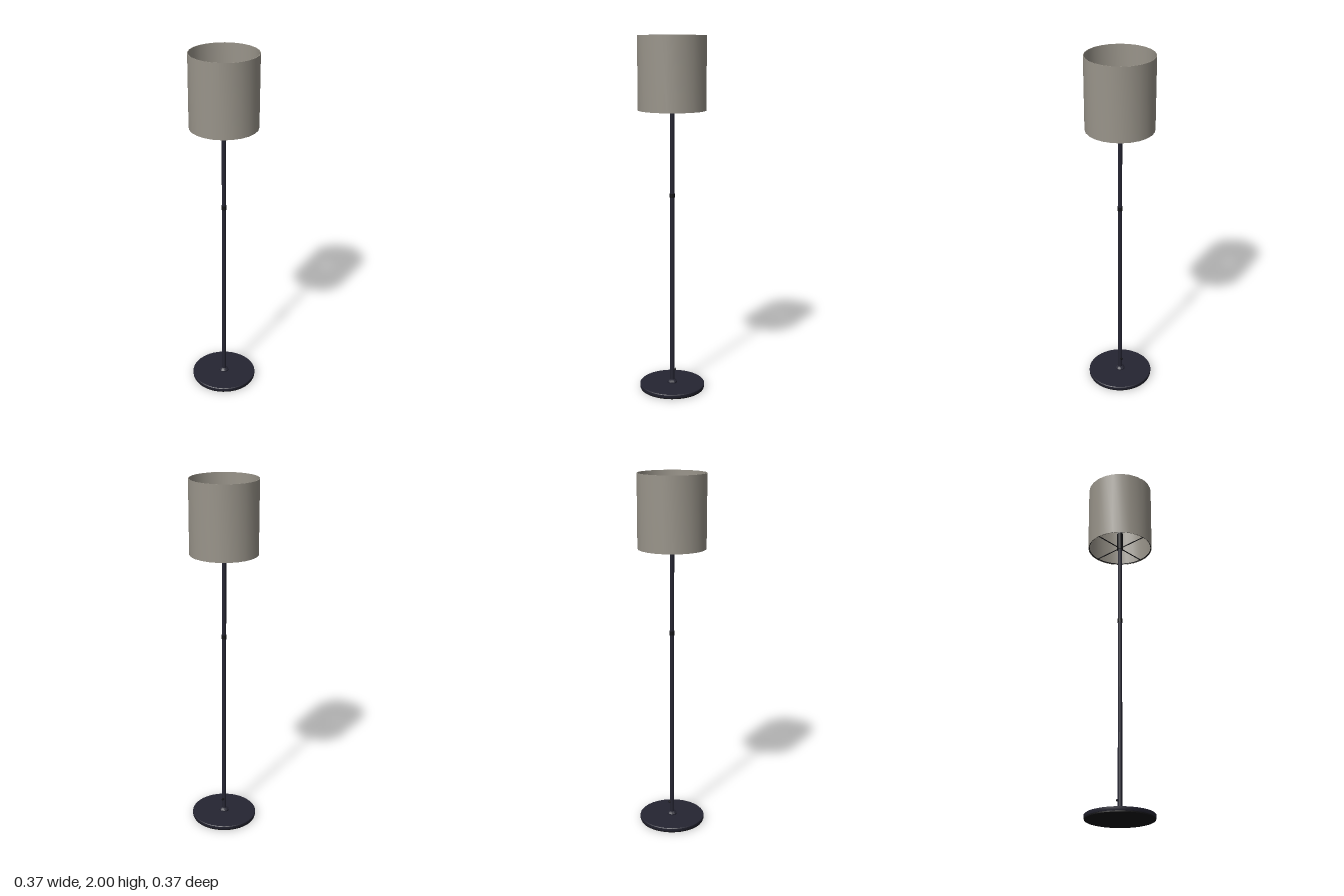
import * as THREE from 'three';
import { toCreasedNormals } from 'three/addons/utils/BufferGeometryUtils.js';

export function createModel() {
  const lamp = new THREE.Group();
  lamp.name = 'floorLamp';

  const mat = (name, color, side = THREE.FrontSide) =>
    Object.assign(new THREE.MeshStandardMaterial({ color, side }), { name });
  const navy = mat('navyMetal', 0x252532);
  const black = mat('blackTrim', 0x131316);
  const linen = mat('linenShade', 0x99948a, THREE.DoubleSide);
  const white = mat('bulbGlass', 0xe6e6e6);

  const add = (name, geometry, material, x = 0, y = 0, z = 0) => {
    const mesh = new THREE.Mesh(geometry, material);
    mesh.name = name;
    mesh.position.set(x, y, z);
    lamp.add(mesh);
    return mesh;
  };
  // Revolved profile of [radius, height] pairs, listed from bottom to top
  const turned = (name, profile, material, sides = 24) => {
    const points = profile.map(([r, y]) => new THREE.Vector2(r, y));
    return add(name, toCreasedNormals(new THREE.LatheGeometry(points, sides), 0.6), material);
  };

  // Weighted base on a black pad
  turned('basePad', [[0, 0], [0.183, 0], [0.183, 0.008], [0, 0.008]], black, 48);
  turned('base', [[0, 0.006], [0.185, 0.006], [0.186, 0.008], [0.186, 0.023], [0.183, 0.026], [0, 0.026]], navy, 48);
  turned('baseCollar', [[0.027, 0.025], [0.027, 0.033], [0.022, 0.04], [0.013, 0.045]], navy);

  // Pole in two lengths with a joint
  turned('pole', [[0.012, 0.026], [0.012, 1.62], [0, 1.62]], navy, 16);
  turned('poleJoint', [[0.012, 1.118], [0.0145, 1.118], [0.0145, 1.141], [0.012, 1.141]], black, 16);

  // Cord outlet on the back of the pole
  add('cordOutlet', new THREE.CylinderGeometry(0.007, 0.007, 0.012, 12), black, 0, 0.105, -0.015)
    .rotation.x = Math.PI / 2;

  // Shade carrier: ring and four spokes
  add('shadeRing', new THREE.TorusGeometry(0.181, 0.003, 6, 48), black, 0, 1.604, 0)
    .rotation.x = Math.PI / 2;
  for (let i = 0; i < 4; i++) {
    const a = i * Math.PI / 2;
    const spoke = add('shadeSpoke', new THREE.CylinderGeometry(0.003, 0.003, 0.17, 6), black,
      Math.cos(a) * 0.096, 1.604, Math.sin(a) * 0.096);
    spoke.rotation.set(0, -a, Math.PI / 2);
  }

  // Socket and bulb
  turned('socket', [[0, 1.594], [0.018, 1.594], [0.018, 1.7], [0, 1.7]], black);
  turned('bulbNeck', [[0.014, 1.695], [0.016, 1.71], [0.024, 1.73]], white);
  add('bulb', new THREE.SphereGeometry(0.037, 24, 16), white, 0, 1.752, 0);

  // Open drum shade with a thin wall
  turned('shade', [[0.186, 1.6], [0.186, 2], [0.183, 2], [0.183, 1.6], [0.186, 1.6]], linen);

  // Overlapping seam at the front of the shade
  add('shadeSeam', new THREE.CylinderGeometry(0.1875, 0.1875, 0.398, 2, 1, true, -0.1, 0.26), linen, 0, 1.8, 0);

  return lamp;
}
